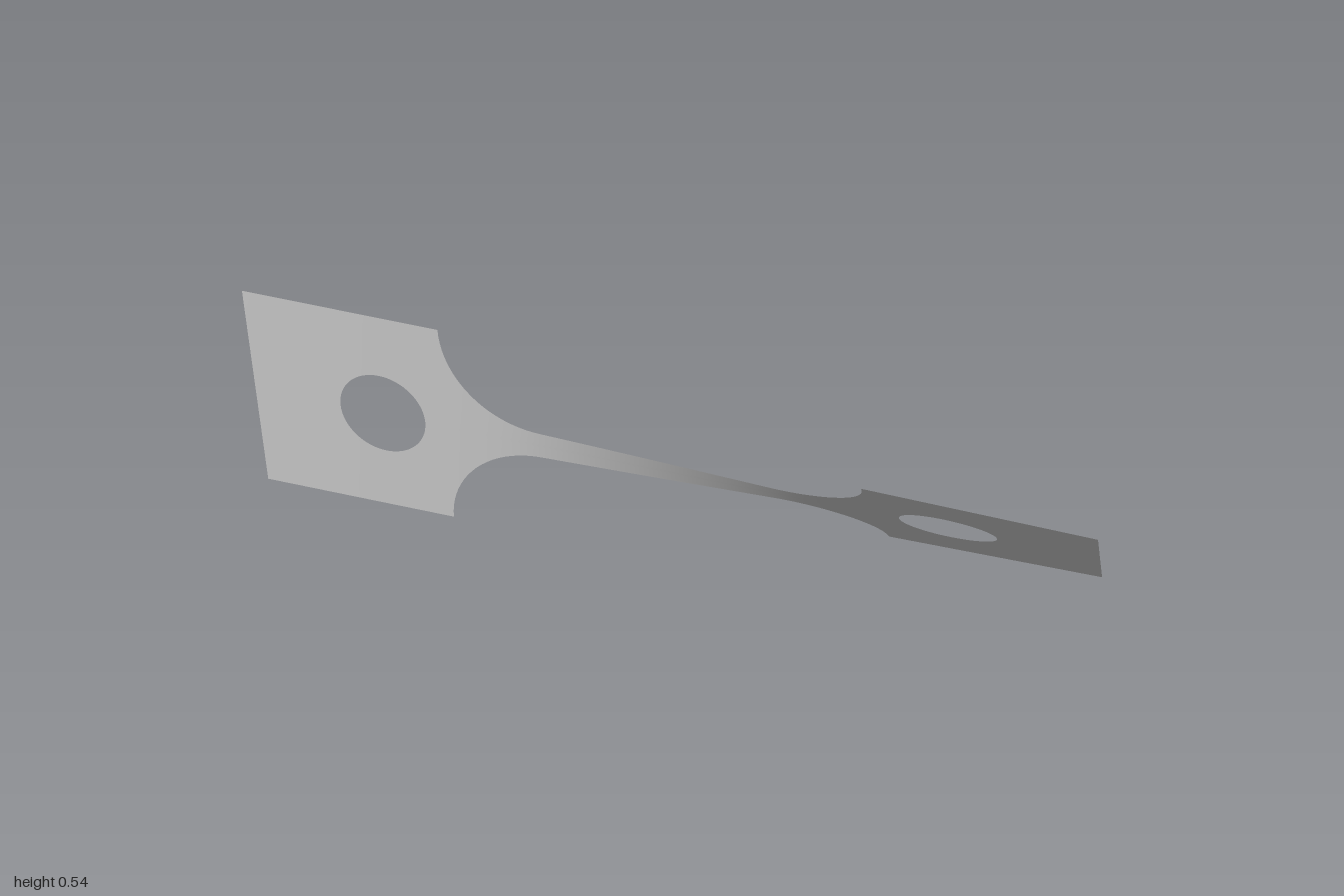
import * as THREE from 'three';
import { mergeVertices } from 'three/addons/utils/BufferGeometryUtils.js';

const TAB = 0.271, NECK = 0.037;          // half widths
const TAB_X = 0.51, R = TAB - NECK;       // tab edge and fillet radius
const HOLE_X = 0.67, HOLE_R = 0.108;
const TWIST = THREE.MathUtils.degToRad(43.4);

// Half width of the strip at x: tab, circular fillet, narrow neck
function halfWidth(x) {
  const t = Math.abs(x) - (TAB_X - R);
  if (t <= 0) return NECK;
  return t >= R ? TAB : TAB - Math.sqrt(R * R - t * t);
}

// Half height of the hole at x
function holeHeight(x) {
  const d = Math.abs(x) - HOLE_X;
  return Math.sqrt(Math.max(0, HOLE_R * HOLE_R - d * d));
}

// Stations along the positive half, crowded on the round edges
function stations() {
  const xs = [];
  for (let i = 0; i < 12; i++) xs.push((i / 12) * (TAB_X - R));
  for (let i = 0; i <= 20; i++) xs.push(TAB_X - R + R * Math.sin((i / 20) * Math.PI / 2));
  for (let i = 0; i <= 32; i++) xs.push(HOLE_X - HOLE_R * Math.cos((i / 32) * Math.PI));
  for (let i = 1; i <= 6; i++) xs.push(HOLE_X + HOLE_R + (i / 6) * (1 - HOLE_X - HOLE_R));
  return [...xs.slice(1).reverse().map((x) => -x), ...xs];
}

// Twist angle at every station: the narrower the strip, the faster it turns
function twistAngles(xs) {
  const rate = (x) => Math.pow(halfWidth(x), -1.43);
  const sums = [0];
  for (let i = 1; i < xs.length; i++) {
    let area = 0;
    const step = (xs[i] - xs[i - 1]) / 8;
    for (let k = 0; k < 8; k++) area += rate(xs[i - 1] + (k + 0.5) * step) * step;
    sums.push(sums[i - 1] + area);
  }
  const total = sums[sums.length - 1];
  return sums.map((s) => (s / total) * TWIST);
}

// One sheet made of an upper and a lower band that part around the holes
function twistedSheet() {
  const xs = stations(), angles = twistAngles(xs), rows = 6;
  const positions = [], indices = [];
  for (const side of [1, -1]) {
    const base = positions.length / 3;
    xs.forEach((x, i) => {
      const inner = holeHeight(x), outer = halfWidth(x);
      for (let j = 0; j <= rows; j++) {
        const v = side * (inner + (outer - inner) * j / rows);
        positions.push(x, TAB + v * Math.cos(angles[i]), v * Math.sin(angles[i]));
      }
    });
    for (let i = 0; i < xs.length - 1; i++) {
      for (let j = 0; j < rows; j++) {
        const a = base + i * (rows + 1) + j, b = a + rows + 1;
        if (side > 0) indices.push(a, b, b + 1, a, b + 1, a + 1);
        else indices.push(a, b + 1, b, a, a + 1, b + 1);
      }
    }
  }
  const geometry = new THREE.BufferGeometry();
  geometry.setAttribute('position', new THREE.Float32BufferAttribute(positions, 3));
  geometry.setIndex(indices);
  const welded = mergeVertices(geometry, 1e-5);
  welded.computeVertexNormals();
  return welded;
}

export function createModel() {
  const group = new THREE.Group();
  group.name = 'twistedSpecimen';
  const metal = new THREE.MeshStandardMaterial({ color: 0xc4c4c4, side: THREE.DoubleSide });
  metal.name = 'light grey metal';
  const sheet = new THREE.Mesh(twistedSheet(), metal);
  sheet.name = 'twistedPlate';
  group.add(sheet);
  return group;
}
